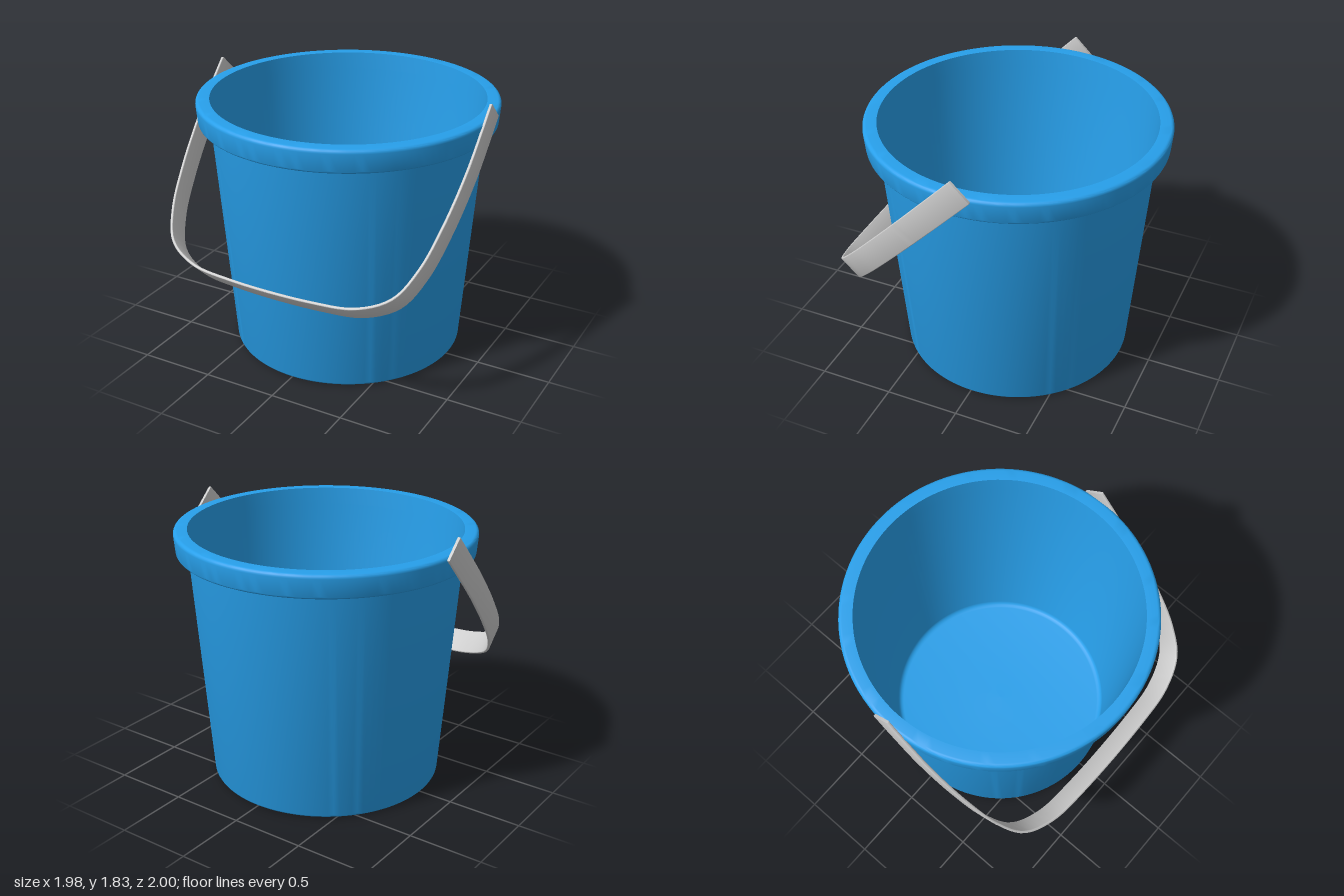
import * as THREE from 'three';
import { toCreasedNormals } from 'three/addons/utils/BufferGeometryUtils.js';

const v2 = (x, y) => new THREE.Vector2(x, y);

// Corner arc for a lathe profile: centre, radius, start and end angle in degrees
function arc(cx, cy, r, from, to, steps = 5) {
  return Array.from({ length: steps + 1 }, (_, i) => {
    const a = THREE.MathUtils.degToRad(from + (to - from) * i / steps);
    return v2(cx + r * Math.cos(a), cy + r * Math.sin(a));
  });
}

// Hollow tapered pail with an overhanging rounded rim
function makePail(material) {
  const profile = [
    v2(0, 0.005),
    v2(0.745, 0.005),
    ...arc(0.752, 0.03, 0.025, -80, -5),   // bottom edge
    v2(0.894, 1.555),
    ...arc(0.915, 1.56, 0.02, 175, 90, 4), // fillet under the rim
    ...arc(0.955, 1.6, 0.02, -90, -3),     // rim lower edge
    ...arc(0.96, 1.71, 0.025, -3, 90),     // rim upper edge
    v2(0.895, 1.735),
    v2(0.885, 1.62),
    ...arc(0.722, 0.07, 0.04, -5, -90),    // inner floor corner
    v2(0, 0.03),
  ];
  const geometry = toCreasedNormals(new THREE.LatheGeometry(profile, 128), 0.6);
  const pail = new THREE.Mesh(geometry, material);
  pail.name = 'pail';
  pail.position.z = -0.012;
  return pail;
}

// Flat strap bent into a U, hanging forward at an angle
function makeHandle(material) {
  const bevel = 0.005, width = 0.172, thickness = 0.018;
  const half = [
    [0.992, 0], [0.992, 0.2], [0.987, 0.46], [0.955, 0.82], [0.9, 1.11],
    [0.8, 1.32], [0.6, 1.435], [0.3, 1.472],
  ];
  const points = [
    ...half.map(([x, s]) => new THREE.Vector3(x, -s, 0)),
    ...half.slice().reverse().map(([x, s]) => new THREE.Vector3(-x, -s, 0)),
  ];
  const curve = new THREE.CatmullRomCurve3(points);
  const outer = [], inner = [];
  const n = 100;
  for (let i = 0; i <= n; i++) {
    const p = curve.getPointAt(i / n), t = curve.getTangentAt(i / n);
    // inward normal of the strap
    const nx = t.y, ny = -t.x;
    outer.push(v2(p.x + nx * bevel, p.y + ny * bevel));
    inner.push(v2(p.x + nx * (thickness - bevel), p.y + ny * (thickness - bevel)));
  }
  const shape = new THREE.Shape([...outer, ...inner.reverse()]);
  const depth = width - 2 * bevel;
  const geometry = new THREE.ExtrudeGeometry(shape, {
    depth, bevelEnabled: true, bevelThickness: bevel, bevelSize: bevel, bevelSegments: 3,
  });
  geometry.translate(0, 0, -depth / 2);
  const handle = new THREE.Mesh(toCreasedNormals(geometry, 0.65), material);
  handle.name = 'handle';
  handle.position.set(0, 1.77, -0.075);
  handle.rotation.x = -0.761;
  return handle;
}

export function createModel() {
  const blue = new THREE.MeshStandardMaterial({ color: 0x279fea });
  const grey = new THREE.MeshStandardMaterial({ color: 0xcccccc });
  const group = new THREE.Group();
  group.name = 'bucket';
  group.add(makePail(blue), makeHandle(grey));
  return group;
}
